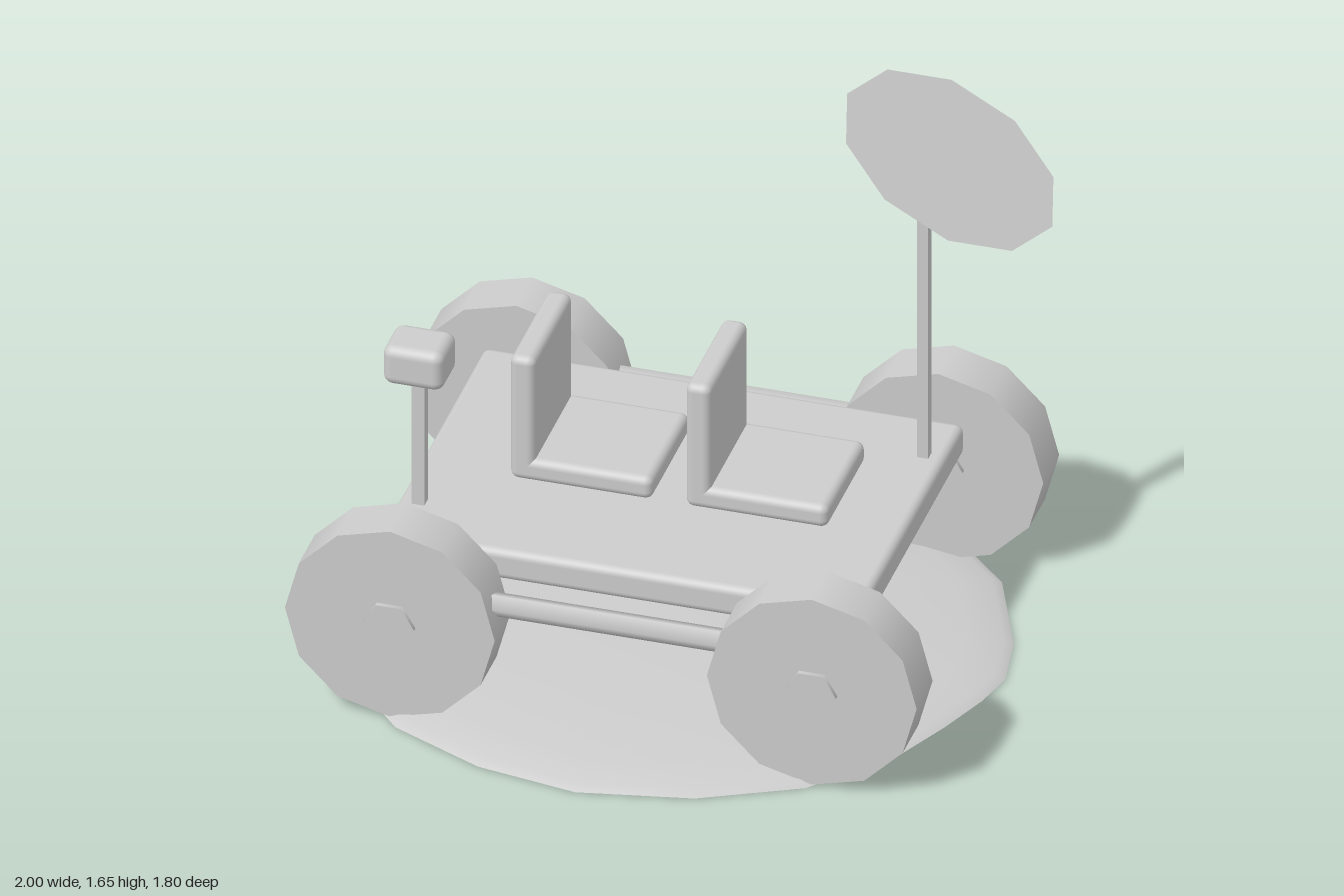
import * as THREE from 'three';
import { RoundedBoxGeometry } from 'three/addons/geometries/RoundedBoxGeometry.js';

const grey = new THREE.MeshStandardMaterial({ color: 0xcccccc });
grey.name = 'grey';

// Irregular outline of the ground mound, as [x, z]
const OUTLINE = [
  [-1, -0.02], [-0.945, -0.33], [-0.84, -0.55], [-0.6, -0.765], [-0.33, -0.86], [-0.03, -0.905],
  [0.11, -0.905], [0.3, -0.87], [0.565, -0.73], [0.8, -0.5], [0.925, -0.2], [0.955, -0.015],
  [0.925, 0.11], [0.865, 0.27], [0.77, 0.48], [0.58, 0.69], [0.3, 0.83], [-0.03, 0.895],
  [-0.33, 0.845], [-0.61, 0.715], [-0.77, 0.54], [-0.87, 0.35],
];

// Low dome made of shrinking copies of the outline
function moundGeometry() {
  const rings = [[1, 0], [0.97, 0.015], [0.86, 0.037], [0.6, 0.058], [0.3, 0.068]];
  const n = OUTLINE.length, pos = [], idx = [];
  for (const [s, y] of rings) for (const [x, z] of OUTLINE) pos.push(x * s, y, z * s);
  const top = pos.length / 3;
  pos.push(0, 0.073, 0);
  for (let i = 0; i < n; i++) {
    const j = (i + 1) % n;
    for (let r = 0; r < rings.length - 1; r++) {
      const a = r * n + i, b = r * n + j;
      idx.push(a, a + n, b, b, a + n, b + n);
    }
    const last = (rings.length - 1) * n;
    idx.push(top, last + j, last + i);
  }
  // Flat underside with its own vertices
  const base = top + 1;
  for (const [x, z] of OUTLINE) pos.push(x, 0, z);
  pos.push(0, 0, 0);
  for (let i = 0; i < n; i++) idx.push(base + n, base + i, base + (i + 1) % n);
  const g = new THREE.BufferGeometry();
  g.setAttribute('position', new THREE.Float32BufferAttribute(pos, 3));
  g.setIndex(idx);
  g.computeVertexNormals();
  return g;
}

export function createModel() {
  const model = new THREE.Group();
  model.name = 'rover';

  const add = (name, geometry, x = 0, y = 0, z = 0, parent = model) => {
    const mesh = new THREE.Mesh(geometry, grey);
    mesh.name = name;
    mesh.position.set(x, y, z);
    parent.add(mesh);
    return mesh;
  };
  // Boxes given by their minimum and maximum corners
  const box = (name, a, b, radius, parent) => {
    const size = a.map((v, i) => b[i] - v), mid = a.map((v, i) => (v + b[i]) / 2);
    const g = radius ? new RoundedBoxGeometry(...size, 3, radius) : new THREE.BoxGeometry(...size);
    return add(name, g, ...mid, parent);
  };

  add('groundMound', moundGeometry());
  box('chassis', [-0.725, 0.39, -0.532], [0.682, 0.488, 0.484], 0.024);

  // Wheels with hexagonal hubs, joined by a side bar
  const wheel = new THREE.CylinderGeometry(0.307, 0.307, 0.155, 12).rotateX(Math.PI / 2);
  const hub = new THREE.CylinderGeometry(0.075, 0.075, 0.184, 6).rotateY(Math.PI / 2).rotateX(Math.PI / 2);
  const bar = new THREE.CylinderGeometry(0.036, 0.036, 0.68, 5).rotateZ(Math.PI / 2);
  for (const [side, z] of [['left', 0.593], ['right', -0.639]]) {
    for (const [end, x] of [['rear', -0.64], ['front', 0.595]]) {
      const g = new THREE.Group();
      g.name = `${side}${end}Wheel`;
      g.position.set(x, 0.31, z);
      model.add(g);
      add('tyre', wheel, 0, 0, 0, g);
      add('hub', hub, 0, 0, 0, g);
    }
    const rail = add(`${side}SideBar`, bar, -0.022, 0.383, z);
    if (z < 0) rail.rotation.y = Math.PI;
  }

  // Two seats
  for (const x of [-0.443, 0.071]) {
    const seat = new THREE.Group();
    seat.name = 'seat';
    seat.position.x = x;
    model.add(seat);
    box('seatCushion', [0.0, 0.52, -0.213], [0.417, 0.592, 0.164], 0.024, seat);
    box('seatBack', [0, 0.52, -0.213], [0.074, 0.926, 0.164], 0.024, seat);
  }

  // Camera box on its post
  box('cameraPost', [-0.682, 0.47, 0.281], [-0.645, 0.92, 0.318]);
  box('cameraBox', [-0.754, 0.902, 0.222], [-0.576, 1.027, 0.374], 0.03);

  // Dish antenna, a shallow closed cone tilted on its mast
  box('dishMast', [0.604, 0.47, -0.357], [0.637, 1.352, -0.323]);
  const dish = new THREE.CylinderGeometry(0.343, 0, 0.15, 10).rotateY(Math.PI / 2);
  add('dish', dish, 0.659, 1.415, -0.339).rotation.z = -0.505;

  return model;
}
